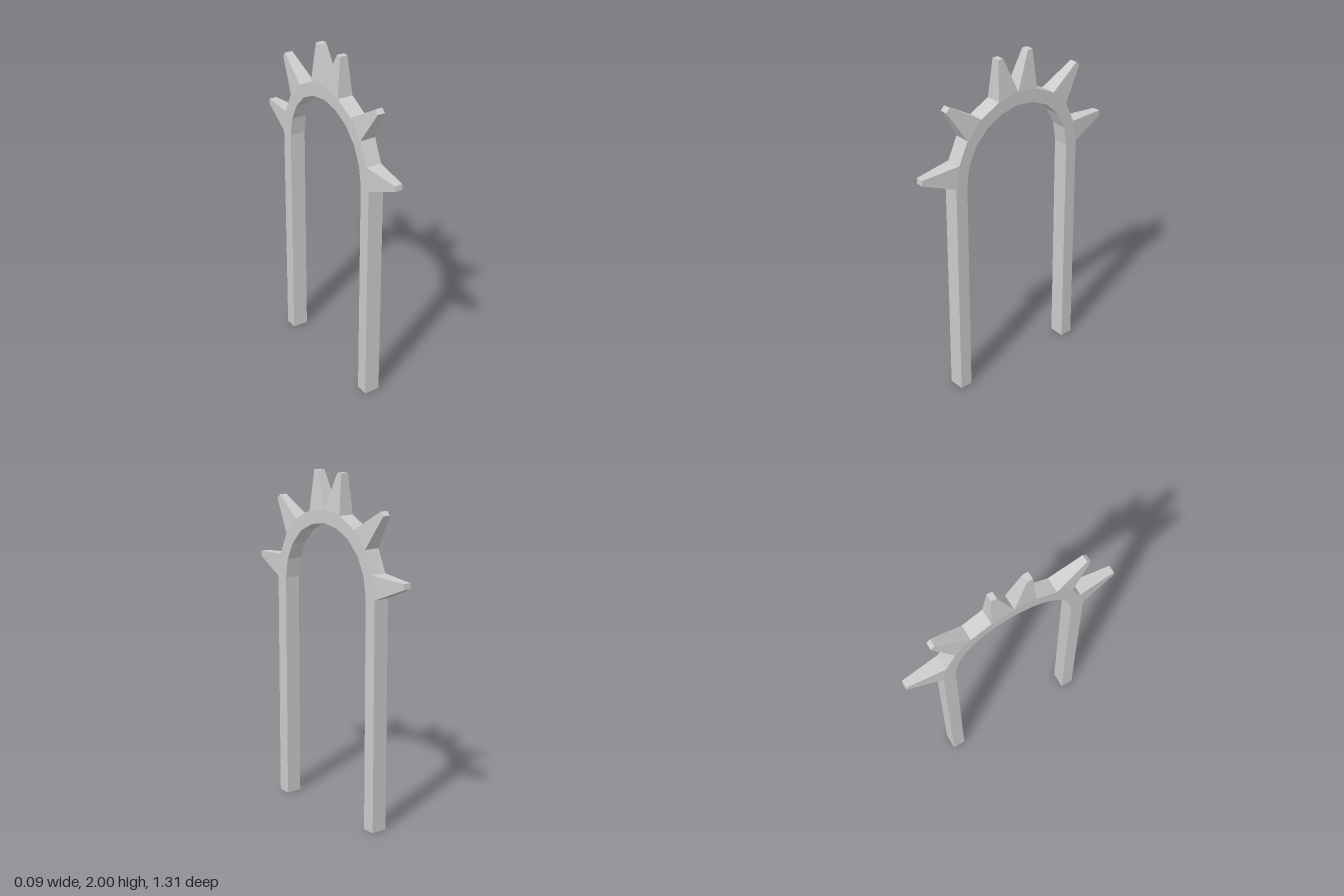
import * as THREE from 'three';

const HALF = 0.047;      // half thickness of the frame
const TIP_HALF = 0.023;  // half thickness at a spike's tip

// Half profile as [z, y], from the springing point to the crown
const outer = [[0.444, 1.345], [0.42, 1.48], [0.36, 1.61], [0.262, 1.706], [0.137, 1.768], [0, 1.79]];
const inner = [[0.368, 1.345], [0.349, 1.46], [0.298, 1.562], [0.215, 1.645], [0.113, 1.694], [0, 1.712]];
// Spike tips as pairs of [z, y], keyed by the arch segment they grow from
const tips = {
  0: [[0.655, 1.433], [0.652, 1.465]],
  2: [[0.48, 1.803], [0.456, 1.826]],
  4: [[0.122, 2], [0.088, 2]],
};

const flip = ([z, y]) => [-z, y];
const at = (p, x) => [x, p[1], p[0]];
// Four corners across the thickness, from profile point a to b
const ring = (a, b, h) => [at(a, h), at(b, h), at(b, -h), at(a, -h)];

function mesh(name, quads) {
  const pos = quads.flatMap(([a, b, c, d]) => [a, b, c, a, c, d].flat());
  const geo = new THREE.BufferGeometry();
  geo.setAttribute('position', new THREE.Float32BufferAttribute(pos, 3));
  geo.computeVertexNormals();
  const m = new THREE.Mesh(geo, new THREE.MeshStandardMaterial({
    color: 0xcccccc, flatShading: true, side: THREE.DoubleSide,
  }));
  m.name = name;
  return m;
}

// Inner and side walls of one frame segment; the outer wall is optional
function segment(oa, ob, ia, ib, withOuter) {
  const quads = [
    ring(ia, ib, -HALF),
    [at(oa, HALF), at(ia, HALF), at(ib, HALF), at(ob, HALF)],
    [at(ob, -HALF), at(ib, -HALF), at(ia, -HALF), at(oa, -HALF)],
  ];
  if (withOuter) quads.push(ring(oa, ob, HALF));
  return quads;
}

// Tapered four-sided spike standing on an arch segment
function spike(a, b, ta, tb) {
  const base = ring(a, b, HALF), tip = ring(ta, tb, TIP_HALF);
  const sides = base.map((p, k) => [p, base[(k + 1) % 4], tip[(k + 1) % 4], tip[k]]);
  return [...sides, tip];
}

export function createModel() {
  const group = new THREE.Group();
  group.name = 'spikedArch';
  const archQuads = [];

  for (let i = 0; i < 5; i++) {
    const [oa, ob, ia, ib] = [outer[i], outer[i + 1], inner[i], inner[i + 1]];
    const t = tips[i];
    archQuads.push(...segment(oa, ob, ia, ib, !t));
    archQuads.push(...segment(flip(ob), flip(oa), flip(ib), flip(ia), !t));
    if (t) {
      group.add(mesh('frontSpike', spike(oa, ob, t[0], t[1])));
      group.add(mesh('backSpike', spike(flip(ob), flip(oa), flip(t[1]), flip(t[0]))));
    }
  }
  group.add(mesh('arch', archQuads));

  // Straight posts, open at the foot
  const o = outer[0], n = inner[0], of = [o[0], 0], nf = [n[0], 0];
  group.add(mesh('frontPost', segment(of, o, nf, n, true)));
  group.add(mesh('backPost', segment(flip(o), flip(of), flip(n), flip(nf), true)));
  return group;
}
